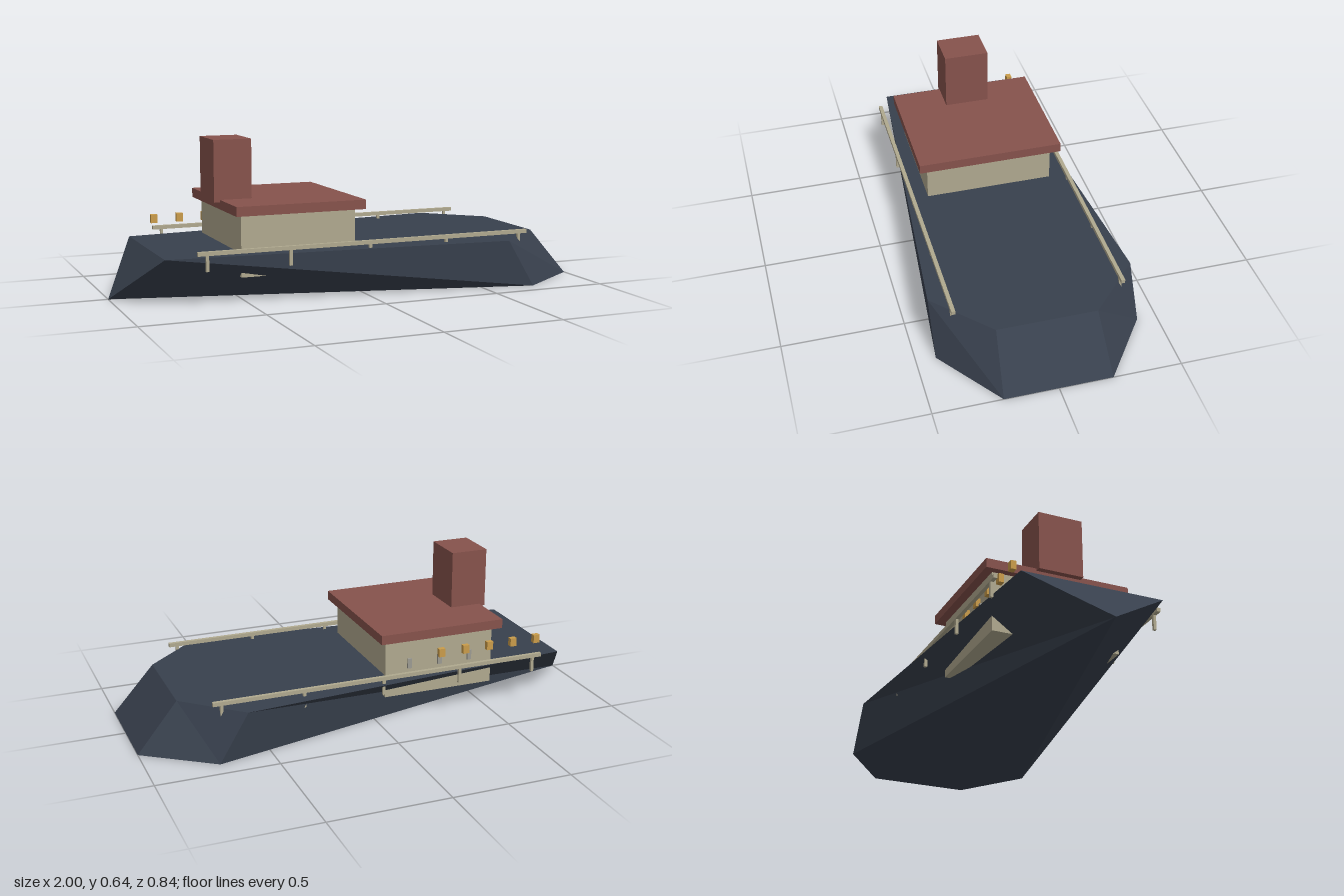
import * as THREE from 'three';

const paint = (name, color) => {
  const m = new THREE.MeshStandardMaterial({ color, flatShading: true });
  m.name = name;
  return m;
};

export function createModel() {
  const navy = paint('navy hull', 0x38404d);
  const cream = paint('cream', 0xb0a98f);
  const red = paint('brick red', 0x86524c);
  const amber = paint('amber', 0xca9c4a);
  const grey = paint('grey', 0x9c9a92);

  const model = new THREE.Group();
  model.name = 'boat';

  // Box given by its lower and upper limits on each axis
  const box = (name, mat, [x0, x1], [y0, y1], [z0, z1], parent = model) => {
    const mesh = new THREE.Mesh(new THREE.BoxGeometry(x1 - x0, y1 - y0, z1 - z0), mat);
    mesh.position.set((x0 + x1) / 2, (y0 + y1) / 2, (z0 + z1) / 2);
    mesh.name = name;
    parent.add(mesh);
    return mesh;
  };

  // Hull: a keel outline joined to a deck outline, bow at -x
  const keel = [[-1, 0], [0.72, 0.42], [1, 0.22], [1, -0.22], [0.72, -0.42], [-1, 0]];
  const deck = [[-0.84, 0.295], [0.6, 0.42], [0.83, 0.205], [0.83, -0.205], [0.6, -0.42], [-0.84, -0.295]];
  const points = [
    ...keel.map(([x, z]) => [x, 0, z]),
    ...deck.map(([x, z]) => [x, 0.2, z]),
  ];
  const n = deck.length;
  const index = [];
  for (let i = 0; i < n; i++) {
    const j = (i + 1) % n;
    if (i < n - 1) index.push(i, j, n + i);
    index.push(j, n + j, n + i);
  }
  for (let i = 1; i < n - 1; i++) {
    index.push(n, n + i, n + i + 1);
    if (i < n - 2) index.push(0, i + 1, i);
  }
  const hullGeometry = new THREE.BufferGeometry();
  hullGeometry.setAttribute('position', new THREE.Float32BufferAttribute(points.flat(), 3));
  hullGeometry.setIndex(index);
  const flatHull = hullGeometry.toNonIndexed();
  flatHull.computeVertexNormals();
  const hull = new THREE.Mesh(flatHull, navy);
  hull.name = 'hull';
  model.add(hull);

  // Deckhouse, roof and funnel
  box('cabin', cream, [-0.525, -0.037], [0.103, 0.36], [-0.273, 0.273]);
  box('roof', red, [-0.555, -0.005], [0.353, 0.392], [-0.31, 0.31]);
  box('funnel', red, [-0.58, -0.42], [0.382, 0.636], [-0.096, 0.096]);

  // Side rails on posts
  for (const side of [1, -1]) {
    const rail = new THREE.Group();
    rail.name = side > 0 ? 'leftRail' : 'rightRail';
    model.add(rail);
    const z = 0.345 * side;
    box('handrail', cream, [-0.725, 0.722], [0.215, 0.231], [z - 0.008, z + 0.008], rail);
    for (let i = -2; i <= 2; i++) {
      const x = i * 0.343;
      box('railPost', cream, [x - 0.006, x + 0.006], [0.152, 0.218], [z - 0.006, z + 0.006], rail);
    }
  }

  // Row of lamps and small plates along the right side
  for (let i = 0; i < 5; i++) {
    const x = -0.735 + i * 0.112;
    box('lamp', amber, [x - 0.014, x + 0.014], [0.254, 0.29], [-0.293, -0.271]);
  }
  for (let i = 0; i < 3; i++) {
    const x = -0.145 - i * 0.137;
    box('wallPlate', grey, [x - 0.009, x + 0.009], [0.22, 0.263], [-0.282, -0.272]);
  }

  return model;
}
